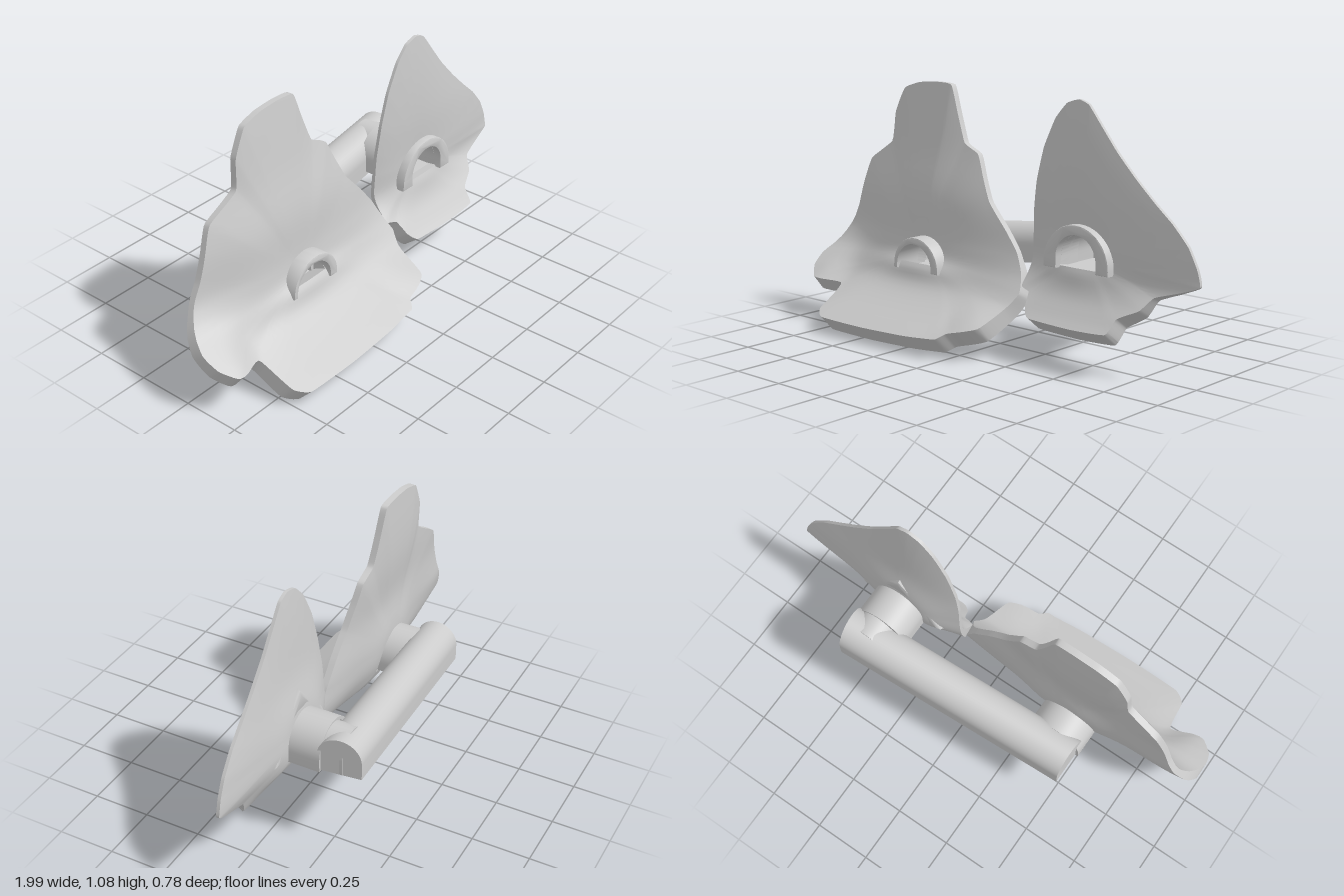
import * as THREE from 'three';
import { toCreasedNormals } from 'three/addons/utils/BufferGeometryUtils.js';

const material = new THREE.MeshStandardMaterial({ color: 0xcccccc, side: THREE.DoubleSide });
const lerp = THREE.MathUtils.lerp;
const smooth = THREE.MathUtils.smoothstep;
const bump = (v, mid, width) => Math.exp(-(((v - mid) / width) ** 2));

function addMesh(group, name, geometry) {
  const mesh = new THREE.Mesh(toCreasedNormals(geometry, 0.7), material);
  mesh.name = name;
  group.add(mesh);
}

// Points of an arch outline: short straight legs and a half-round top
function archPoints(cx, floor, r, leg, n = 24) {
  const pts = [new THREE.Vector2(cx + r, floor)];
  for (let i = 0; i <= n; i++) {
    const a = Math.PI * i / n;
    pts.push(new THREE.Vector2(cx + r * Math.cos(a), floor + leg + r * Math.sin(a)));
  }
  pts.push(new THREE.Vector2(cx - r, floor));
  return pts;
}

// Distance from c along direction d to a closed polygon
function rayHit(poly, c, d) {
  let best = 0;
  poly.forEach((p, i) => {
    const q = poly[(i + 1) % poly.length];
    const ex = q.x - p.x, ey = q.y - p.y;
    const det = ex * d.y - ey * d.x;
    if (Math.abs(det) < 1e-9) return;
    const px = p.x - c.x, py = p.y - c.y;
    const t = (ex * py - ey * px) / det;
    const u = (d.x * py - d.y * px) / det;
    if (t > 0 && u >= -1e-6 && u <= 1 + 1e-6) best = Math.max(best, t);
  });
  return best;
}

// Bent slab: rings run from the arch opening to the outline, front then back
function slabGeometry({ outline, hole, centre, ys, zs, inner, edge, curl, swell }) {
  const bend = new THREE.CubicInterpolant(ys, zs, 1, new Float32Array(1));
  const at = y => bend.evaluate(THREE.MathUtils.clamp(y, ys[0], ys[ys.length - 1]))[0];
  const c = new THREE.Vector2(...centre);
  const loop = new THREE.CatmullRomCurve3(
    outline.map(p => new THREE.Vector3(p[0], p[1], 0)), true, 'catmullrom', 0.2).getPoints(168);
  loop.pop();
  const K = 14, M = 2 * K, pos = [], index = [];
  for (const p of loop) {
    const d = new THREE.Vector2(p.x, p.y).sub(c);
    const far = d.length();
    d.normalize();
    const near = rayHit(hole, c, d);
    for (let m = 0; m < M; m++) {
      const front = m < K;
      const t = (front ? m : M - 1 - m) / (K - 1);
      const r = lerp(near, far, t);
      const x = c.x + d.x * r, y = c.y + d.y * r;
      const y0 = Math.max(y, ys[0] + 0.011);
      const slope = (at(y0 + 0.01) - at(y0 - 0.01)) / 0.02;
      const len = Math.hypot(1, slope);
      const rim = lerp(edge[0], edge[1], smooth(y, 0.2, 0.42));
      let half = lerp(inner, rim, t * t) / 2 + swell(x, y, front) * (1 - t ** 6);
      // swelling around the passage at the back
      if (!front) half += 0.022 * bump(r, near, 0.12);
      const s = front ? half : -half;
      // the lip's lower edge is undercut
      const undercut = 0.4 * s * (1 - smooth(y, 0.05, 0.2));
      pos.push(x, y - s * slope / len, at(y) + curl(x, y) + s / len + undercut);
    }
  }
  const N = loop.length;
  for (let i = 0; i < N; i++) for (let m = 0; m < M; m++) {
    const a = i * M + m, b = i * M + (m + 1) % M;
    const e = ((i + 1) % N) * M + m, f = ((i + 1) % N) * M + (m + 1) % M;
    index.push(a, b, e, b, f, e);
  }
  // Keep faces outward whichever way the outline runs
  if (THREE.ShapeUtils.area(loop) < 0) index.reverse();
  const g = new THREE.BufferGeometry();
  g.setAttribute('position', new THREE.Float32BufferAttribute(pos, 3));
  g.setIndex(index);
  return g;
}

// Flat band between two open outlines, with softened edges
function band(outer, inner, z0, z1, bevel) {
  return new THREE.ExtrudeGeometry(new THREE.Shape([...outer, ...inner.reverse()]), {
    depth: z1 - z0 - 2 * bevel, bevelEnabled: true, bevelSize: bevel, bevelThickness: bevel,
    bevelOffset: -bevel, bevelSegments: 2
  }).translate(0, 0, z0 + bevel);
}

// Arch-shaped passage with walls and a thin floor
function passage(cx, floor, r, leg, z0, z1) {
  const shape = new THREE.Shape(archPoints(cx, floor, r, leg));
  shape.holes.push(new THREE.Path(archPoints(cx, floor + 0.012, r - 0.018, leg - 0.01)));
  return new THREE.ExtrudeGeometry(shape, { depth: z1 - z0, bevelEnabled: false }).translate(0, 0, z0);
}

export function createModel() {
  const model = new THREE.Group();
  model.name = 'linkedArchwaySlabs';

  // Large slab with a broad forward lip and a side wing
  addMesh(model, 'largeSlab', slabGeometry({
    outline: [[-0.59, 1.05], [-0.5, 1.08], [-0.4, 1.088], [-0.31, 1.08], [-0.27, 0.97], [-0.22, 0.84],
      [-0.14, 0.8], [-0.1, 0.71], [-0.05, 0.61], [0.04, 0.51], [0.11, 0.42], [0.15, 0.34], [0.18, 0.25],
      [0.155, 0.18], [0.13, 0.115], [0.0, 0.08], [-0.04, 0.055], [-0.2, 0.045], [-0.45, 0.04], [-0.7, 0.042],
      [-0.76, 0.065], [-0.785, 0.15], [-0.93, 0.165], [-0.985, 0.21], [-0.998, 0.27], [-0.93, 0.4],
      [-0.88, 0.5], [-0.84, 0.62], [-0.8, 0.72], [-0.66, 0.81], [-0.645, 0.94]],
    hole: archPoints(-0.39, 0.285, 0.1, 0.02), centre: [-0.39, 0.335],
    ys: [0.03, 0.11, 0.2, 0.29, 0.4, 0.6, 0.8, 1.1], zs: [0.375, 0.22, 0.095, 0.035, 0.01, 0, -0.03, -0.05],
    inner: 0.11, edge: [0.075, 0.028],
    curl: (x, y) => -0.04 * smooth(-x, 0.6, 0.95) * smooth(y, 0.25, 0.45)
      + 0.06 * smooth(-x, 0.76, 0.92) * (1 - smooth(y, 0.18, 0.34))
      + 0.045 * smooth(x, -0.08, 0.1) * (1 - smooth(y, 0.1, 0.2)),
    swell: (x, y, front) => front
      ? 0.025 * bump(x, -0.39, 0.22) * bump(y, 0.26, 0.06)
      : 0.035 * bump(x, -0.38, 0.3) * bump(y, 0.16, 0.08)
  }));

  // Small slab with a swept side point and a short lip
  addMesh(model, 'smallSlab', slabGeometry({
    outline: [[0.17, 0.4], [0.175, 0.5], [0.18, 0.6], [0.2, 0.73], [0.24, 0.87], [0.3, 0.99], [0.36, 1.055],
      [0.42, 1.073], [0.47, 1.055], [0.53, 0.98], [0.61, 0.88], [0.7, 0.785], [0.79, 0.7], [0.87, 0.63],
      [0.94, 0.55], [0.98, 0.47], [0.995, 0.4], [0.91, 0.365], [0.81, 0.33], [0.77, 0.27], [0.69, 0.225],
      [0.67, 0.165], [0.5, 0.158], [0.28, 0.165], [0.24, 0.2], [0.22, 0.26], [0.17, 0.28]],
    hole: archPoints(0.45, 0.395, 0.1, 0.045), centre: [0.45, 0.465],
    ys: [0.14, 0.2, 0.28, 0.38, 0.5, 0.7, 1.1], zs: [0.135, 0.085, 0.03, -0.015, -0.018, -0.008, 0],
    inner: 0.085, edge: [0.085, 0.014],
    curl: () => 0,
    swell: (x, y, front) => front ? 0.015 * bump(x, 0.45, 0.15) * bump(y, 0.36, 0.06) : 0
  }));

  // Raised frames on the front of each opening
  addMesh(model, 'largeArchFrame',
    band(archPoints(-0.375, 0.285, 0.132, 0.014), archPoints(-0.385, 0.285, 0.1, 0.015), 0, 0.13, 0.006));
  addMesh(model, 'smallArchFrame',
    band(archPoints(0.45, 0.395, 0.165, 0.022), archPoints(0.45, 0.395, 0.1, 0.045), -0.04, 0.06, 0.006));

  // Pointed ridge behind the small slab, around its passage
  const ridge = [[0.66, 0.4], [0.61, 0.49], [0.53, 0.58], [0.45, 0.66], [0.38, 0.58], [0.29, 0.49], [0.24, 0.4]]
    .map(p => new THREE.Vector2(...p));
  addMesh(model, 'smallBackRidge', band(ridge, archPoints(0.45, 0.4, 0.11, 0.04), -0.078, -0.02, 0.02));

  // Short passages leading back from each opening
  addMesh(model, 'largePassage', passage(-0.41, 0.27, 0.123, 0.04, -0.17, 0.04));
  addMesh(model, 'smallPassage', passage(0.45, 0.385, 0.12, 0.052, -0.22, 0.0));
  addMesh(model, 'smallPassageNeck', passage(0.46, 0.39, 0.09, 0.07, -0.31, -0.21));

  // Long sloping tunnel joining the two passages
  const tunnel = new THREE.ExtrudeGeometry(new THREE.Shape(archPoints(0, 0, 0.093, 0.073)),
    { depth: 1, bevelEnabled: false });
  const p = tunnel.attributes.position;
  for (let i = 0; i < p.count; i++) {
    const k = p.getZ(i), across = p.getX(i);
    p.setXYZ(i, lerp(0.55, -0.52, k) + (k < 0.5 ? across * 0.12 : 0),
      lerp(0.39, 0.275, k) + p.getY(i), lerp(-0.297, -0.222, k) + across);
  }
  addMesh(model, 'tunnel', tunnel);

  return model;
}
